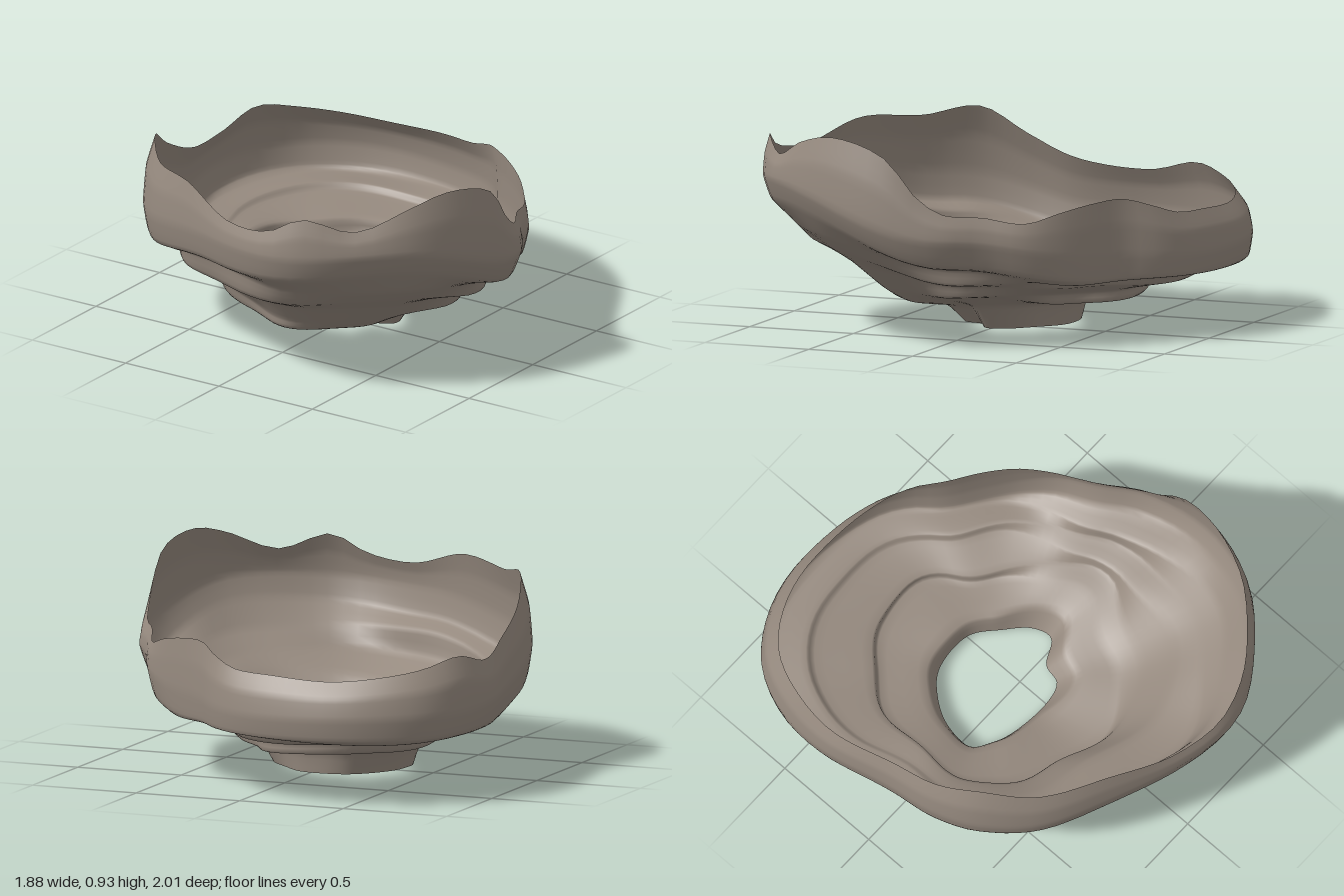
import * as THREE from 'three';

const V = (p) => new THREE.Vector3(...p);
const { lerp } = THREE.MathUtils;
const CENTRE = { x: -0.08, z: -0.08 };

// Wall outline seen from above, with the height of the rim over it: x, rim y, z
const OUTLINE = [
  [-0.43, 0.55, -1], [-0.12, 0.56, -0.99], [0.09, 0.57, -0.93], [0.21, 0.61, -0.85], [0.32, 0.65, -0.73],
  [0.46, 0.64, -0.63], [0.59, 0.61, -0.53], [0.7, 0.57, -0.41], [0.79, 0.6, -0.23], [0.88, 0.61, -0.09], [0.92, 0.68, 0.03],
  [0.94, 0.85, 0.18], [0.93, 0.91, 0.32], [0.88, 0.93, 0.5], [0.8, 0.89, 0.66],
  [0.62, 0.8, 0.84], [0.42, 0.86, 0.97], [0.25, 0.78, 1], [0, 0.76, 0.95],
  [-0.3, 0.84, 0.83], [-0.6, 0.82, 0.66], [-0.78, 0.85, 0.45], [-0.85, 0.73, 0.24],
  [-0.87, 0.63, 0], [-0.94, 0.59, -0.35], [-0.92, 0.64, -0.6], [-0.82, 0.6, -0.8], [-0.65, 0.57, -0.93],
].map(V);

// Edge of the opening in the base
const HOLE = [
  [-0.2, 0.02, -0.3], [0, 0.02, -0.31], [0.12, 0.02, -0.22], [0.22, 0.02, -0.12], [0.24, 0.02, -0.03],
  [0.13, 0.02, 0.04], [0.1, 0.02, 0.13], [0, 0.02, 0.16], [-0.2, 0.01, 0.14],
  [-0.3, 0, 0.1], [-0.38, 0.02, 0.05], [-0.37, 0.02, -0.1], [-0.3, 0.02, -0.22],
].map(V);

// Stepped sections every 45 degrees from +x towards +z.
// Each runs from opening (0) to outline (1): distance, height
const SECTIONS = [
  [[0, 0.02], [0.12, 0.13], [0.32, 0.18], [0.48, 0.2], [0.53, 0.26], [0.69, 0.28], [0.72, 0.34], [0.92, 0.37], [1, 0.49]],
  [[0, 0.02], [0.1, 0.1], [0.3, 0.13], [0.42, 0.19], [0.6, 0.31], [0.72, 0.38], [0.86, 0.47], [0.955, 0.59], [1, 0.69]],
  [[0, 0.02], [0.05, 0.07], [0.38, 0.1], [0.4, 0.15], [0.54, 0.28], [0.82, 0.38], [0.84, 0.48], [0.965, 0.53], [1, 0.65]],
  [[0, 0.02], [0.07, 0.1], [0.4, 0.15], [0.45, 0.23], [0.6, 0.28], [0.74, 0.33], [0.8, 0.4], [0.96, 0.43], [1, 0.56]],
  [[0, 0.02], [0.08, 0.13], [0.4, 0.17], [0.43, 0.25], [0.61, 0.27], [0.66, 0.28], [0.9, 0.28], [0.96, 0.31], [1, 0.42]],
  [[0, 0.02], [0.06, 0.13], [0.33, 0.16], [0.37, 0.23], [0.7, 0.25], [0.75, 0.28], [0.93, 0.28], [0.98, 0.3], [1, 0.4]],
  [[0, 0.02], [0.04, 0.14], [0.45, 0.15], [0.47, 0.2], [0.74, 0.24], [0.78, 0.27], [0.93, 0.275], [0.98, 0.29], [1, 0.38]],
  [[0, 0.02], [0.05, 0.13], [0.37, 0.15], [0.4, 0.2], [0.7, 0.24], [0.74, 0.28], [0.93, 0.28], [0.98, 0.3], [1, 0.41]],
];

// Returns a lookup of the closed curve's point in a given direction from the centre
function byDirection(points) {
  const samples = new THREE.CatmullRomCurve3(points, true).getPoints(900);
  return (a) => {
    let best = samples[0], score = -2;
    for (const p of samples) {
      const dx = p.x - CENTRE.x, dz = p.z - CENTRE.z;
      const s = (dx * Math.cos(a) + dz * Math.sin(a)) / Math.hypot(dx, dz);
      if (s > score) { score = s; best = p; }
    }
    return best;
  };
}

// Smooth hump around one direction
const hump = (a, at) => Math.max(0, Math.cos(a - at)) ** 6;

// One radial section of the shell, blended from its two neighbours in the list
function sectionAt(a, inner, outer) {
  const k = a / (Math.PI / 4), from = Math.floor(k);
  const blend = THREE.MathUtils.smoothstep(k - from, 0, 1);
  const next = SECTIONS[(from + 1) % 8];
  const at = (t, y) => new THREE.Vector3(lerp(inner.x, outer.x, t), y, lerp(inner.z, outer.z, t));
  const points = SECTIONS[from % 8].map(([t, y], i) => {
    let d = lerp(t, next[i][0], blend);
    let h = i ? lerp(y, next[i][1], blend) : inner.y;
    // Irregular terraces
    if (i > 1 && i < 7) {
      const pair = Math.floor(i / 2);
      d += 0.01 * Math.sin(5 * a + pair * 1.9) + 0.01 * Math.sin(9 * a + pair);
      h += 0.006 * Math.sin(4 * a + pair * 2.3);
    }
    return at(d, h);
  });
  // Wall leaning in to the rim: most at the back, upright at the right back
  const rim = 0.93 + 0.04 * Math.sin(a) + 0.08 * hump(a, -Math.PI / 4) - 0.045 * hump(a, 2.5);
  points.push(at(lerp(1, rim, 0.25), lerp(points[8].y, outer.y, 0.55)));
  points.push(at(rim, outer.y));
  return new THREE.CatmullRomCurve3(points, false, 'catmullrom', 0.22).getPoints(40);
}

function shellGeometry(around = 96) {
  const hole = byDirection(HOLE), outline = byDirection(OUTLINE);
  const positions = [], index = [];
  let n = 0;
  for (let i = 0; i < around; i++) {
    const a = (i / around) * Math.PI * 2;
    const section = sectionAt(a, hole(a), outline(a));
    n = section.length;
    for (const p of section) positions.push(p.x, p.y, p.z);
  }
  for (let i = 0; i < around; i++) {
    const k = ((i + 1) % around) * n;
    for (let j = 0; j < n - 1; j++) {
      const p = i * n + j, q = k + j;
      index.push(p, q, p + 1, q, q + 1, p + 1);
    }
  }
  const g = new THREE.BufferGeometry();
  g.setAttribute('position', new THREE.Float32BufferAttribute(positions, 3));
  g.setIndex(index);
  g.computeVertexNormals();
  return g;
}

export function createModel() {
  const group = new THREE.Group();
  group.name = 'terracedBowl';
  const material = new THREE.MeshStandardMaterial({ color: 0x968a7f, side: THREE.DoubleSide });
  const shell = new THREE.Mesh(shellGeometry(), material);
  shell.name = 'terracedShell';
  group.add(shell);
  return group;
}
